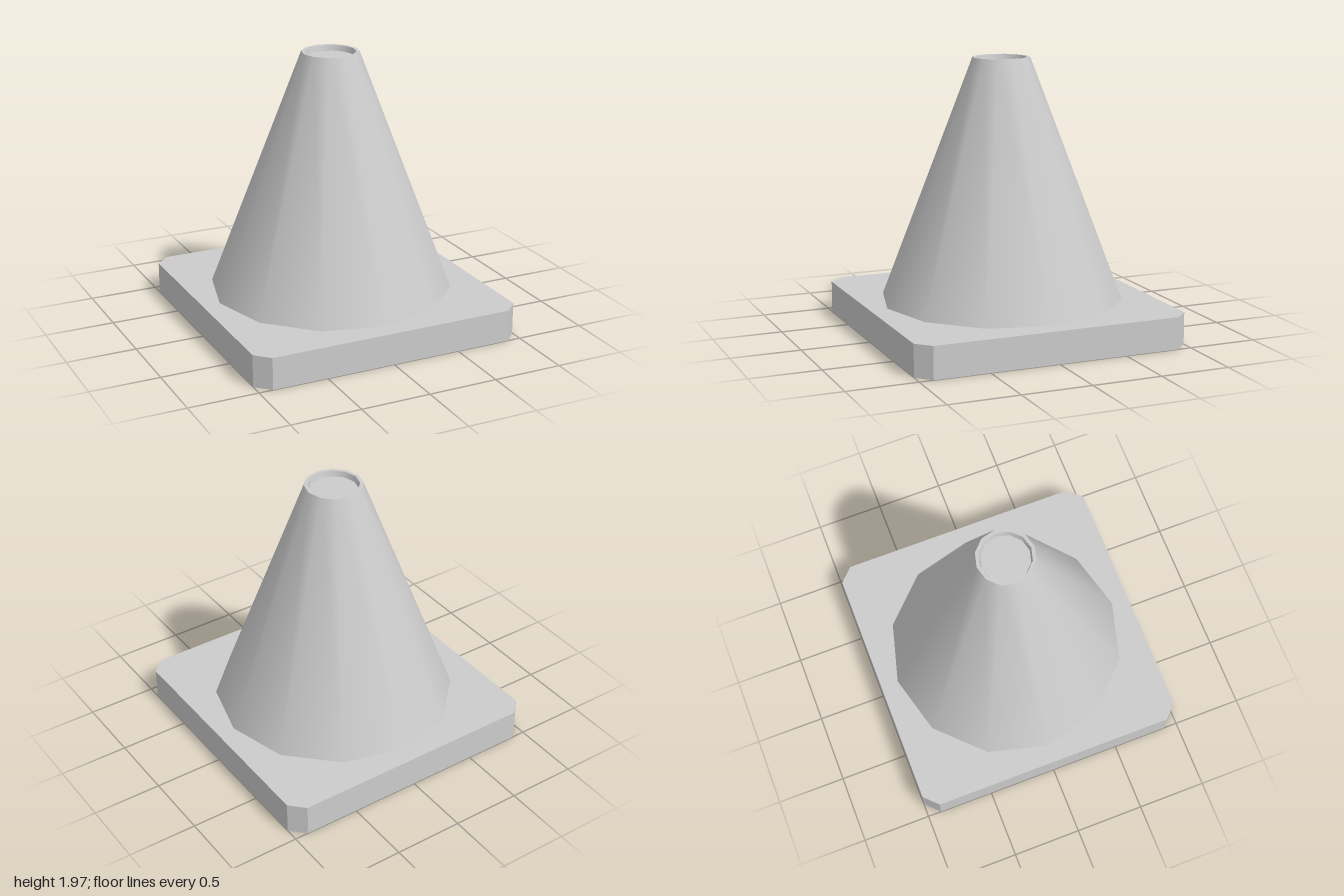
import * as THREE from 'three';

const SIDES = 12;
const BASE_HEIGHT = 0.23;
const TOP = 1.965;

export function createModel() {
  const group = new THREE.Group();
  const material = new THREE.MeshStandardMaterial({ color: 0xcccccc });

  const add = (name, geometry) => {
    const mesh = new THREE.Mesh(geometry, material);
    mesh.name = name;
    group.add(mesh);
    return mesh;
  };

  // Each band is its own lathe: smooth around, sharp between bands
  const band = (name, r0, y0, r1, y1) =>
    add(name, new THREE.LatheGeometry([new THREE.Vector2(r0, y0), new THREE.Vector2(r1, y1)], SIDES));

  // Square base plate with clipped corners
  const c = 0.9;
  const outline = new THREE.Shape([
    [c, -1], [1, -c], [1, c], [c, 1], [-c, 1], [-1, c], [-1, -c], [-c, -1],
  ].map(([x, y]) => new THREE.Vector2(x, y)));
  const plate = new THREE.ExtrudeGeometry(outline, { depth: BASE_HEIGHT, bevelEnabled: false });
  plate.rotateX(-Math.PI / 2);
  add('base', plate);

  // Tapered body, flat rim and shallow recess at the tip
  band('coneBody', 0.87, BASE_HEIGHT, 0.205, TOP);
  band('rim', 0.205, TOP, 0.18, TOP);
  band('recessWall', 0.18, TOP, 0.17, TOP - 0.04);
  band('recessFloor', 0.17, TOP - 0.04, 0, TOP - 0.04);

  return group;
}
